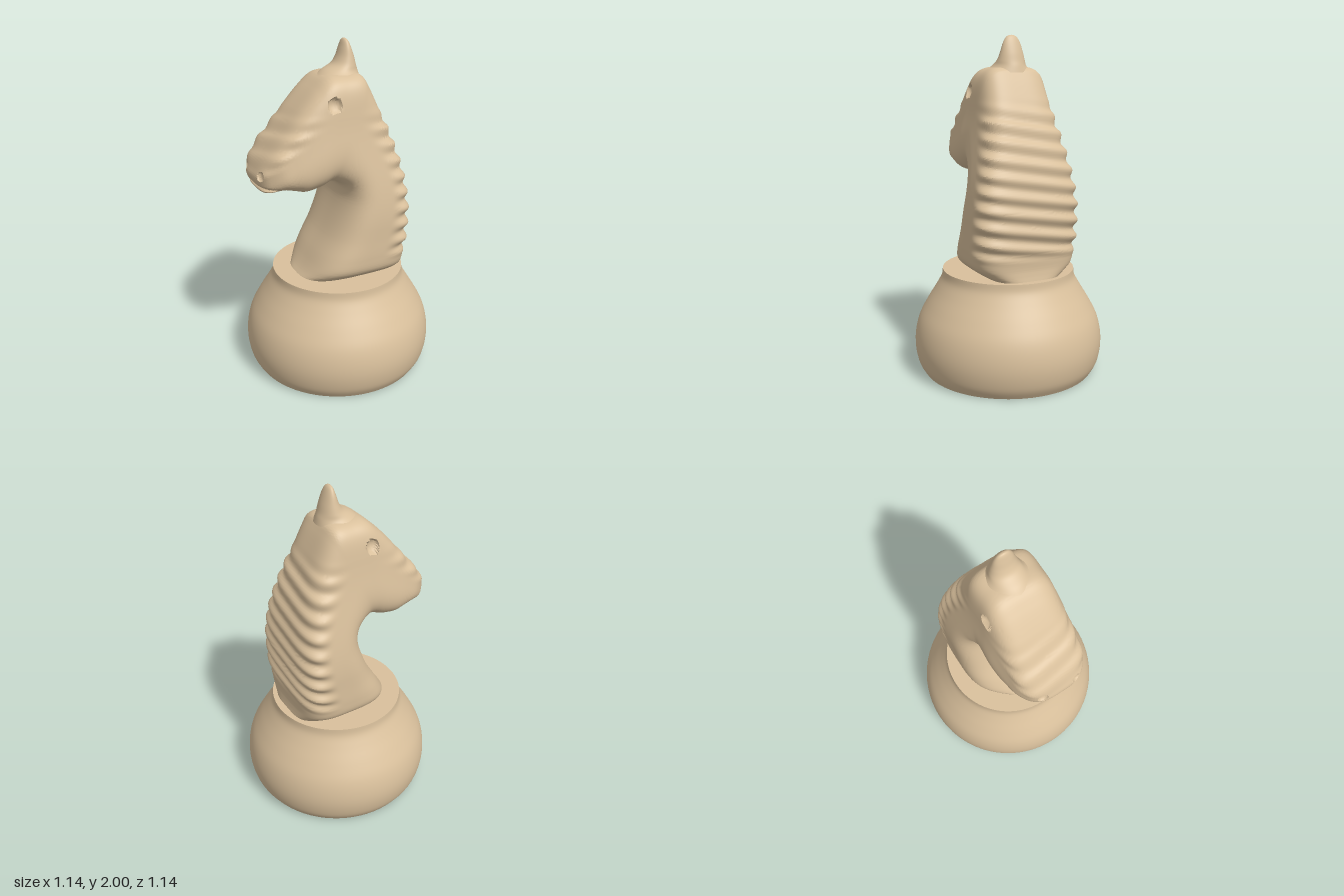
import * as THREE from 'three';
import { toCreasedNormals } from 'three/addons/utils/BufferGeometryUtils.js';

const TAN = 0xd9c09c;
const { smoothstep } = THREE.MathUtils;

// Skins closed rings between a front edge and a back edge lying in the xy plane.
// rows: [frontX, frontY, backX, backY, width]; place(front, back, u, v, width, target)
function loft(rows, rings, sides, power, place) {
  const front = new THREE.CatmullRomCurve3(rows.map(r => new THREE.Vector3(r[0], r[1], r[4])), false, 'catmullrom', 0.5);
  const back = new THREE.CatmullRomCurve3(rows.map(r => new THREE.Vector3(r[2], r[3], 0)), false, 'catmullrom', 0.5);
  const pos = [], index = [], p = new THREE.Vector3();
  for (let i = 0; i <= rings; i++) {
    const f = front.getPoint(i / rings), b = back.getPoint(i / rings);
    for (let j = 0; j < sides; j++) {
      const a = (j / sides) * Math.PI * 2, c = Math.cos(a), s = Math.sin(a);
      const n = power(c);
      const r = Math.pow(Math.abs(c) ** n + Math.abs(s) ** n, -1 / n);
      place(f, b, c * r, s * r, Math.max(f.z, 0), p);
      pos.push(p.x, p.y, p.z);
      if (i < rings) {
        const k = i * sides + j, l = i * sides + (j + 1) % sides;
        index.push(k, k + sides, l, l, k + sides, l + sides);
      }
    }
  }
  const g = new THREE.BufferGeometry();
  g.setAttribute('position', new THREE.Float32BufferAttribute(pos, 3));
  g.setIndex(index);
  return g;
}

// Point of a ring: u runs front to back, v runs sideways
function ringPoint(f, b, u, v, halfWidth, p) {
  p.set((f.x + b.x) / 2 + (b.x - f.x) / 2 * u, (f.y + b.y) / 2 + (b.y - f.y) / 2 * u, halfWidth * v);
}

// Round hollows for eyes and nostrils: centre, radius, inward direction (mirrored in z)
const hollows = [
  { at: [-0.11, 1.68, 0.21], r: 0.041, dir: [0, 0, -1] },
  { at: [-0.508, 1.31, 0.1], r: 0.027, dir: [0.75, -0.1, -0.65] },
].flatMap(h => [1, -1].map(m => ({
  at: new THREE.Vector3(h.at[0], h.at[1], h.at[2] * m), r: h.r,
  dir: new THREE.Vector3(h.dir[0], h.dir[1], h.dir[2] * m).normalize(),
})));

function pressHollows(p) {
  const q = new THREE.Vector3();
  for (const { at, r, dir } of hollows) {
    q.subVectors(p, at);
    const along = q.dot(dir);
    const across2 = q.lengthSq() - along * along;
    if (Math.abs(along) < 0.08 && across2 < r * r) {
      p.addScaledVector(dir, Math.sqrt(r * r - across2) * 0.75);
      return;
    }
  }
}

function horseGeometry() {
  const rows = [
    // foot and chest
    [-0.285, 0.62, 0.355, 0.62, 0.66],
    [-0.255, 0.655, 0.348, 0.66, 0.85],
    [-0.225, 0.70, 0.345, 0.70, 0.97],
    [-0.185, 0.77, 0.35, 0.78, 1],
    [-0.12, 0.88, 0.358, 0.9, 1],
    // neck
    [-0.068, 1.0, 0.36, 1.02, 1],
    [-0.037, 1.1, 0.352, 1.13, 1],
    [-0.035, 1.16, 0.328, 1.27, 1],
    [-0.05, 1.195, 0.28, 1.43, 1],
    [-0.08, 1.215, 0.21, 1.6, 1],
    [-0.105, 1.22, 0.135, 1.76, 1],
    // poll
    [-0.125, 1.222, 0.09, 1.815, 1],
    [-0.15, 1.215, 0.0, 1.822, 1],
    [-0.18, 1.2, -0.1, 1.815, 1],
    // face and jaw
    [-0.22, 1.19, -0.18, 1.755, 0.98],
    [-0.28, 1.183, -0.27, 1.66, 0.93],
    [-0.34, 1.2, -0.36, 1.55, 0.87],
    [-0.40, 1.215, -0.445, 1.45, 0.79],
    // muzzle
    [-0.465, 1.203, -0.50, 1.375, 0.62],
    [-0.498, 1.204, -0.525, 1.325, 0.46],
    [-0.515, 1.22, -0.536, 1.285, 0.27],
    [-0.526, 1.25, -0.526, 1.25, 0],
  ];
  const g = loft(rows, 252, 144, c => (c > 0 ? 4 : 3), (f, b, u, v, scale, p) => {
    ringPoint(f, b, u, v, 0, p);
    // the body narrows with height
    const width = 0.205 + 0.115 * (1 - smoothstep(p.y, 0.95, 1.75));
    p.z = width * scale * v;
    // slanted mane ridges, fading towards the sides and both ends
    const fade = smoothstep(u, 0.2, 0.8) * smoothstep(p.y, 0.72, 0.82) * (1 - smoothstep(p.y, 1.5, 1.66));
    const ridge = 1 + 0.042 * fade * Math.sin((p.y - 0.17 * p.z) / 0.097 * Math.PI * 2);
    ringPoint(f, b, u * ridge, v * ridge, width * scale, p);
    // mouth groove
    if (p.x < -0.42) {
      const groove = Math.exp(-(((p.y - 1.236) / 0.009) ** 2)) * smoothstep(-p.x, 0.42, 0.47);
      p.x += 0.018 * groove;
      p.z *= 1 - 0.08 * groove;
    }
    pressHollows(p);
  });
  return toCreasedNormals(g, 0.6);
}

// Single pointed crest standing on the poll
function earGeometry() {
  const rows = [
    [-0.12, 1.805, 0.125, 1.79, 0.13],
    [-0.085, 1.832, 0.116, 1.825, 0.098],
    [-0.03, 1.862, 0.106, 1.855, 0.083],
    [-0.003, 1.9, 0.094, 1.9, 0.07],
    [0.015, 1.95, 0.077, 1.95, 0.055],
    [0.026, 1.982, 0.063, 1.982, 0.038],
    [0.034, 1.996, 0.052, 1.996, 0.02],
    [0.042, 2.0, 0.042, 2.0, 0],
  ];
  const g = loft(rows, 42, 40, () => 2, ringPoint);
  g.computeVertexNormals();
  return g;
}

// Turned, bulging pedestal
function baseGeometry() {
  const side = new THREE.SplineCurve([
    [0.52, 0], [0.553, 0.06], [0.57, 0.15], [0.566, 0.24], [0.542, 0.33], [0.495, 0.42],
    [0.44, 0.51], [0.405, 0.575], [0.397, 0.625],
  ].map(a => new THREE.Vector2(...a))).getPoints(40);
  const profile = [new THREE.Vector2(0, 0), ...side, new THREE.Vector2(0, 0.625)];
  return toCreasedNormals(new THREE.LatheGeometry(profile, 72), 0.6);
}

export function createModel() {
  const group = new THREE.Group();
  group.name = 'chessKnight';
  const material = new THREE.MeshStandardMaterial({ color: TAN });
  const parts = { base: baseGeometry(), horseHeadAndNeck: horseGeometry(), ear: earGeometry() };
  for (const [name, geometry] of Object.entries(parts)) {
    const mesh = new THREE.Mesh(geometry, material);
    mesh.name = name;
    group.add(mesh);
  }
  return group;
}
